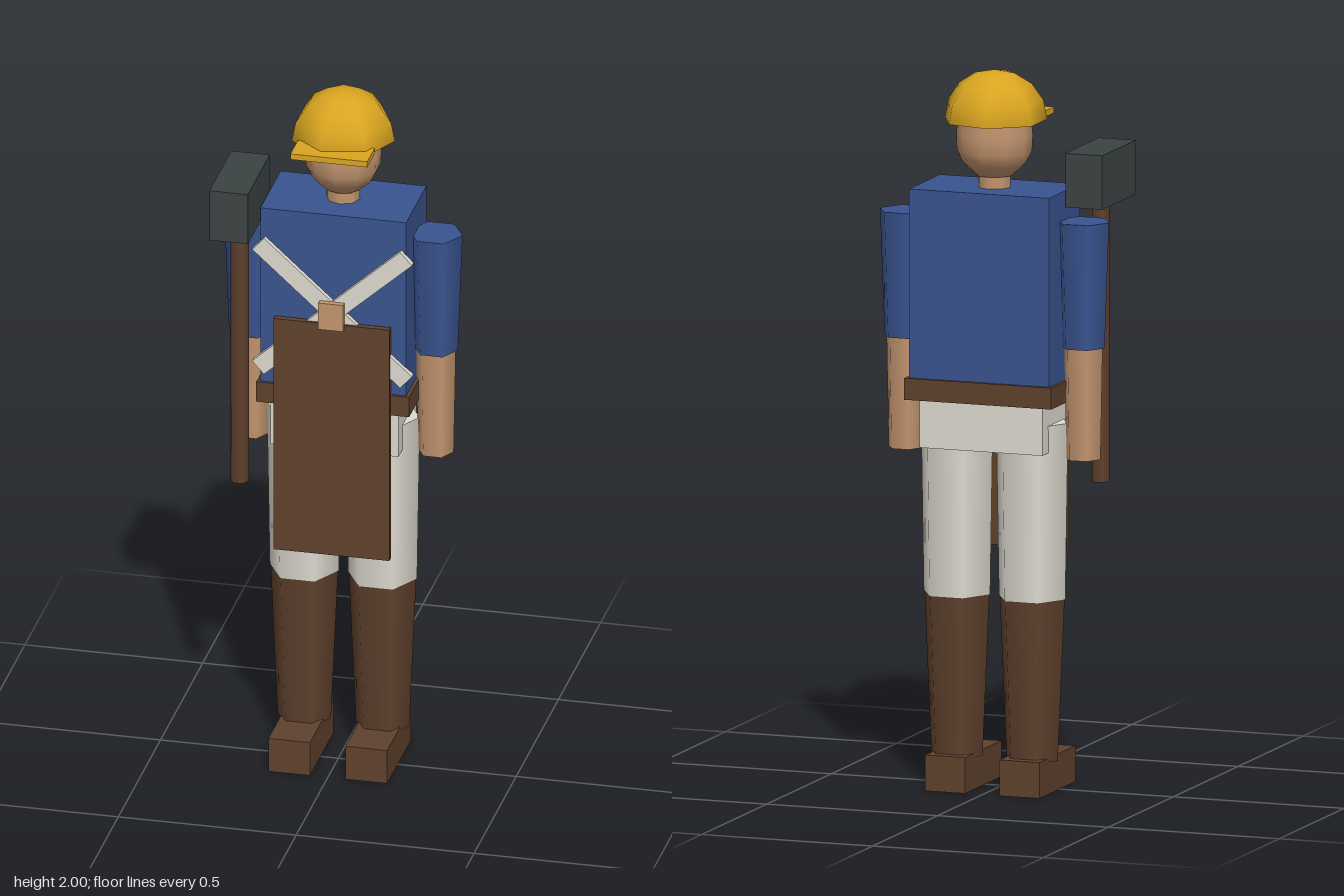
import * as THREE from 'three';

const mat = (name, color) => {
  const m = new THREE.MeshStandardMaterial({ color });
  m.name = name;
  return m;
};

export function createModel() {
  const blue = mat('shirt blue', 0x3a5490);
  const gold = mat('hat yellow', 0xdaa520);
  const brown = mat('leather brown', 0x5f412d);
  const cream = mat('trouser cream', 0xdedacf);
  const skin = mat('skin', 0xc4956f);
  const iron = mat('hammer iron', 0x3b4443);

  const model = new THREE.Group();
  model.name = 'worker';
  const MID = -0.06; // depth of the body's centre line

  const add = (name, geometry, material, x = 0, y = 0, z = 0) => {
    const mesh = new THREE.Mesh(geometry, material);
    mesh.name = name;
    mesh.position.set(x, y, z);
    model.add(mesh);
    return mesh;
  };
  // Box given by its extents
  const box = (name, material, x0, x1, y0, y1, z0, z1) =>
    add(name, new THREE.BoxGeometry(x1 - x0, y1 - y0, z1 - z0), material,
      (x0 + x1) / 2, (y0 + y1) / 2, (z0 + z1) / 2);
  // Tapered limb with corners pointing sideways
  const limb = (name, material, x, y0, y1, rBottom, rTop, z = MID, sides = 6) =>
    add(name, new THREE.CylinderGeometry(rTop, rBottom, y1 - y0, sides, 1, false, Math.PI / 2),
      material, x, (y0 + y1) / 2, z);

  // Torso, belt and hips
  box('torso', blue, -0.205, 0.205, 1.14, 1.675, -0.18, 0.06);
  box('belt', brown, -0.215, 0.215, 1.09, 1.15, -0.19, 0.068);
  box('hips', cream, -0.18, 0.18, 0.955, 1.095, -0.165, 0.045);

  // Arms and legs
  for (const [side, s] of [['left', 1], ['right', -1]]) {
    limb(side + 'Sleeve', blue, s * 0.26, 1.245, 1.595, 0.062, 0.075);
    limb(side + 'Forearm', skin, s * 0.26, 0.935, 1.25, 0.05, 0.056);
    limb(side + 'Trouser', cream, s * 0.11, 0.54, 1.03, 0.097, 0.105);
    limb(side + 'BootShaft', brown, s * 0.11, 0.09, 0.542, 0.075, 0.095);
    box(side + 'Foot', brown, s * 0.1085 - 0.0585, s * 0.1085 + 0.0585, 0, 0.1, -0.155, 0.125);
  }

  // Neck and head
  limb('neck', skin, 0, 1.66, 1.74, 0.047, 0.047, MID, 8);
  const face = [[0, 1.7], [0.05, 1.708], [0.085, 1.74], [0.103, 1.775], [0.105, 1.82], [0.1, 1.875]];
  add('head', new THREE.LatheGeometry(face.map(([r, y]) => new THREE.Vector2(r, y)), 10),
    skin, 0, 0, MID);

  // Seven-sided hard hat with a flat peak
  const dome = add('hatDome',
    new THREE.SphereGeometry(0.145, 7, 4, 0, Math.PI * 2, 0, Math.PI / 2), gold, 0, 1.86, MID);
  dome.rotation.y = Math.PI;
  dome.scale.y = 0.14 / 0.145;
  const under = add('hatUnderside', new THREE.CircleGeometry(0.145, 7), gold, 0, 1.86, MID);
  under.rotation.x = Math.PI / 2;
  box('hatPeak', gold, -0.108, 0.108, 1.857, 1.874, 0.025, 0.113);

  // Crossed straps on the chest
  for (const s of [1, -1]) {
    const strap = add(s > 0 ? 'strapRising' : 'strapFalling',
      new THREE.BoxGeometry(0.56, 0.05, s > 0 ? 0.02 : 0.018), cream, 0, 1.385, 0.066);
    strap.rotation.z = s * 0.733;
  }

  // Leather apron hung from a small clasp
  box('apron', brown, -0.163, 0.163, 0.655, 1.355, 0.065, 0.083);
  box('apronClasp', skin, -0.035, 0.035, 1.34, 1.42, 0.068, 0.092);

  // Sledgehammer held at the right side
  limb('hammerHandle', brown, -0.26, 0.85, 1.64, 0.026, 0.026, 0.073);
  box('hammerHead', iron, -0.315, -0.207, 1.63, 1.78, -0.06, 0.2);

  return model;
}
